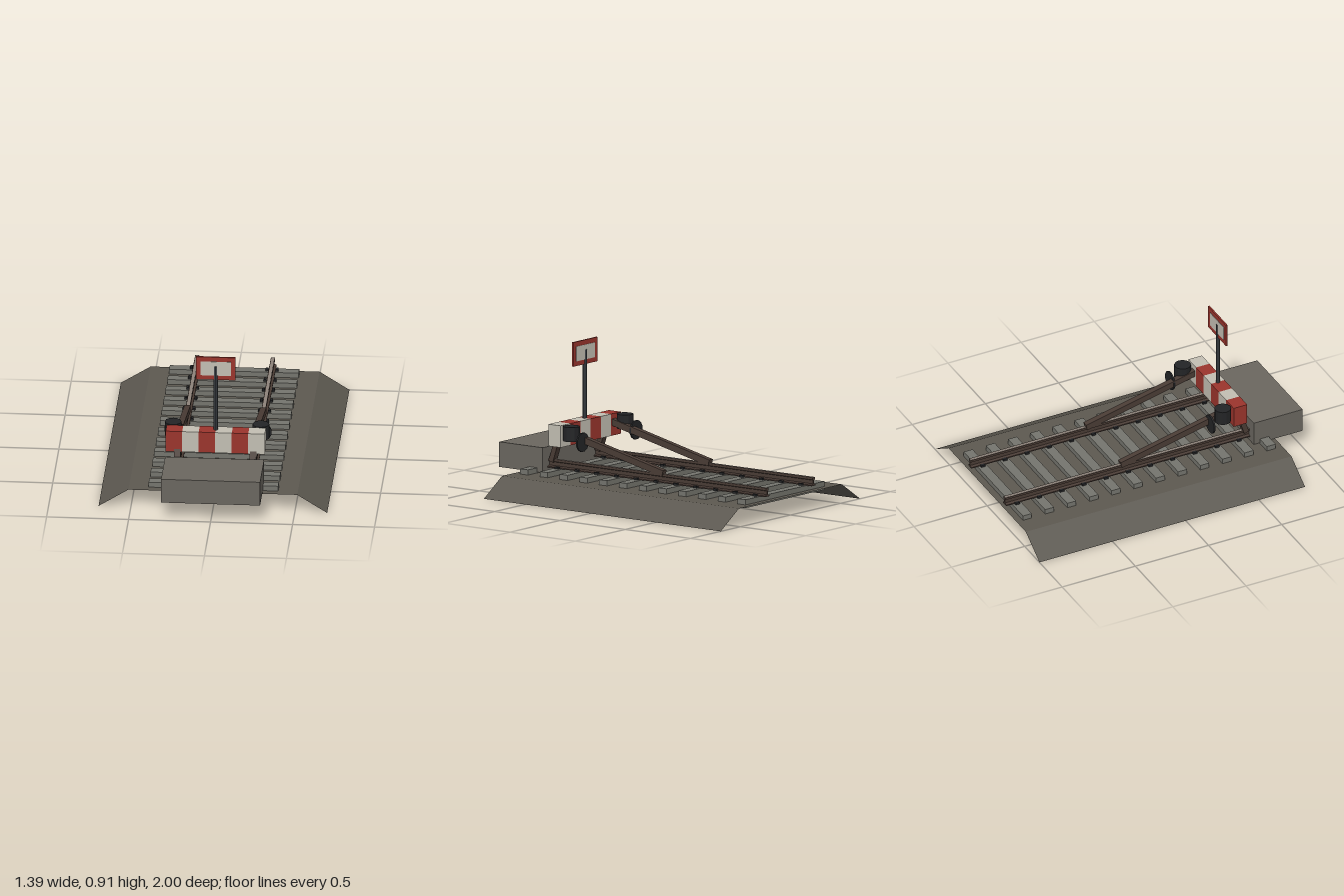
import * as THREE from 'three';

const mat = (color, extra = {}) => new THREE.MeshStandardMaterial({ color, flatShading: true, ...extra });
const M = {
  ballast: mat(0x5c5850, { side: THREE.DoubleSide }),
  sleeper: mat(0x74746d),
  rail: mat(0x4a3c35),
  polished: mat(0x8c8279),
  concrete: mat(0x6a665f),
  red: mat(0x9a342c),
  white: mat(0xc2beb2),
  black: mat(0x232426),
  steel: mat(0x41464b),
};

export function createModel() {
  const root = new THREE.Group();
  const add = (name, geo, material, x = 0, y = 0, z = 0) => {
    const m = new THREE.Mesh(geo, material);
    m.name = name;
    m.position.set(x, y, z);
    root.add(m);
    return m;
  };
  const box = (name, material, w, h, d, x, y, z) =>
    add(name, new THREE.BoxGeometry(w, h, d), material, x, y, z);

  // Square bar in the yz plane between two [z, y] points
  const bar = (name, x, [z0, y0], [z1, y1], w, t) => {
    const len = Math.hypot(z1 - z0, y1 - y0);
    const m = box(name, M.rail, w, t, len, x, (y0 + y1) / 2, (z0 + z1) / 2);
    m.rotation.x = -Math.atan2(y1 - y0, z1 - z0);
  };

  // Ballast bed: open folded sheet, flat top with sloping shoulders
  const section = [[-0.697, 0], [-0.515, 0.115], [0.515, 0.115], [0.697, 0]];
  const bed = new THREE.PlaneGeometry(1.394, 1.815, 3, 1).rotateX(-Math.PI / 2);
  const points = bed.attributes.position;
  for (let i = 0; i < points.count; i++) {
    const [x, y] = section[i % 4];
    points.setXYZ(i, x, y, points.getZ(i));
  }
  bed.computeVertexNormals();
  add('ballastBed', bed, M.ballast, 0, 0, -0.0925);

  // Sleepers with rail clips on both sides of each rail
  for (let i = 0; i < 12; i++) {
    const z = -0.928 + i * 0.1515;
    box('sleeper', M.sleeper, 0.79, 0.052, 0.06, 0, 0.121, z);
    for (const s of [-1, 1])
      for (const x of [0.2, 0.261]) box('railClip', M.black, 0.016, 0.014, 0.028, s * x, 0.153, z);
  }

  // Rail cross-section: foot, web and head
  const half = [[0.021, 0], [0.021, 0.007], [0.005, 0.013], [0.005, 0.035], [0.013, 0.039], [0.013, 0.053]];
  const railShape = new THREE.Shape([
    ...half.map(([x, y]) => new THREE.Vector2(x, y)),
    ...half.slice().reverse().map(([x, y]) => new THREE.Vector2(-x, y)),
  ]);
  const railGeo = new THREE.ExtrudeGeometry(railShape, { depth: 1.67, bevelEnabled: false });

  for (const s of [-1, 1]) {
    const x = s * 0.231;
    add('rail', railGeo, M.rail, x, 0.147, -1);
    box('railRunningSurface', M.polished, 0.018, 0.002, 1.67, x, 0.2, -0.165);

    // Long rear brace and short front brace of the stop
    bar('rearBrace', x, [-0.21, 0.203], [0.54, 0.376], 0.037, 0.04);
    bar('frontBrace', x, [0.645, 0.185], [0.603, 0.313], 0.04, 0.033);

    // Bumper: upright drum with a thin round plate behind it
    add('bumperDrum', new THREE.CylinderGeometry(0.051, 0.051, 0.09, 12), M.black, s * 0.268, 0.38, 0.472);
    const plate = new THREE.CylinderGeometry(0.06, 0.06, 0.01, 12, 1, false, Math.PI / 12);
    add('bumperPlate', plate.rotateX(Math.PI / 2), M.black, s * 0.268, 0.335, 0.388);
  }

  // Concrete end block
  box('endBlock', M.concrete, 0.604, 0.155, 0.333, 0, 0.1975, 0.8335);

  // Striped crossbeam
  for (let i = 0; i < 6; i++)
    box('beamStripe', i % 2 ? M.white : M.red, 0.1007, 0.135, 0.092, (i - 2.5) * 0.1007, 0.358, 0.576);

  // Post and framed sign
  add('signPost', new THREE.CylinderGeometry(0.0125, 0.0125, 0.43, 8), M.steel, 0, 0.635, 0.576);
  box('signFrame', M.red, 0.242, 0.15, 0.011, 0, 0.835, 0.576);
  box('signPanel', M.white, 0.184, 0.092, 0.016, 0, 0.835, 0.576);

  return root;
}
